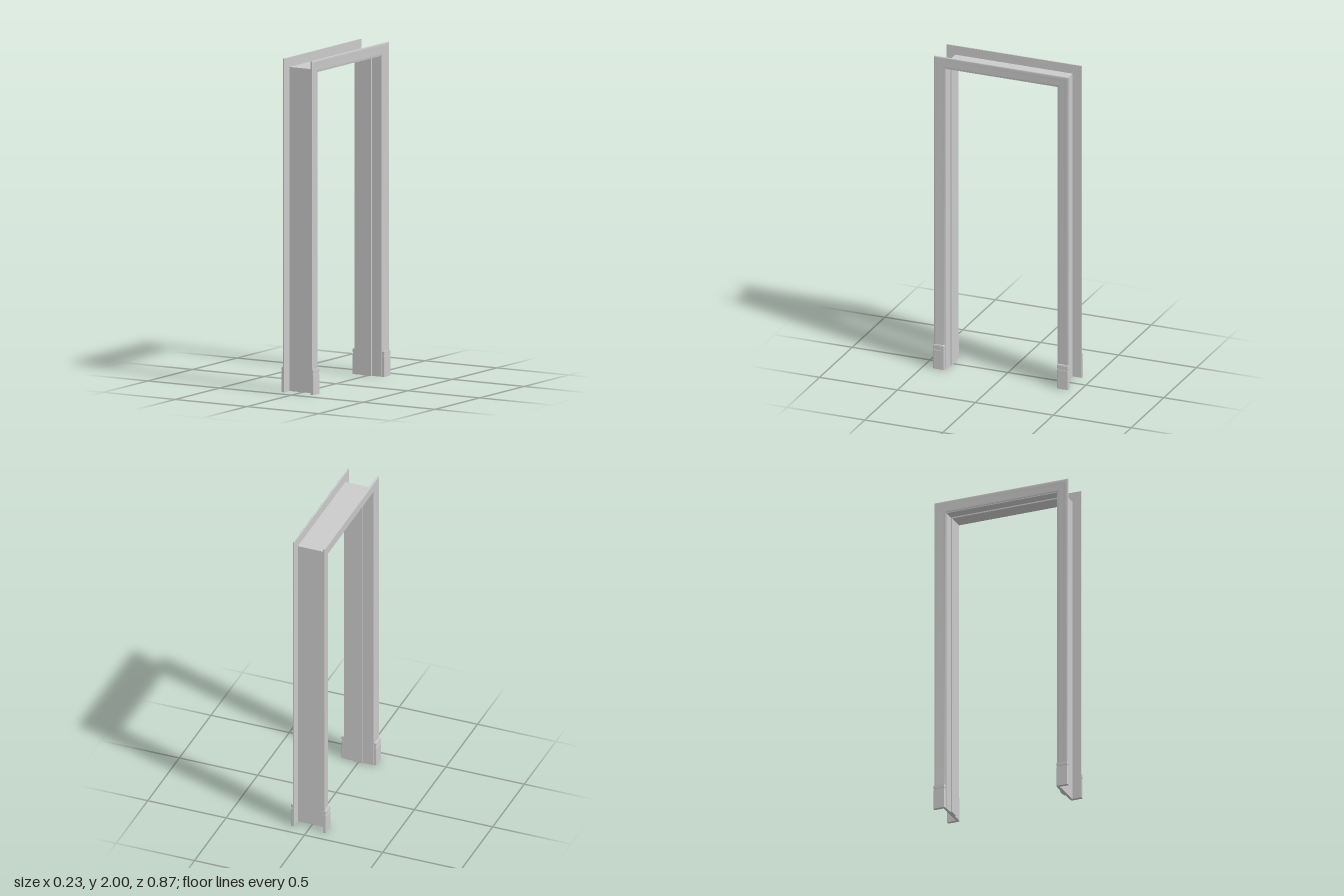
import * as THREE from 'three';
import { toCreasedNormals } from 'three/addons/utils/BufferGeometryUtils.js';

const material = new THREE.MeshStandardMaterial({ color: 0xcccccc });
const HALF = 0.433, TOP = 2; // outer edge of the casing

function part(name, geometry) {
  const mesh = new THREE.Mesh(geometry, material);
  mesh.name = name;
  return mesh;
}

// Upside-down U board lying between two insets from the outer edge, centred on x
function uBoard(outer, inner, width) {
  const ho = HALF - outer, to = TOP - outer, hi = HALF - inner, ti = TOP - inner;
  const shape = new THREE.Shape([
    [-ho, 0], [-hi, 0], [-hi, ti], [hi, ti], [hi, 0], [ho, 0], [ho, to], [-ho, to],
  ].map(([x, y]) => new THREE.Vector2(x, y)));
  return new THREE.ExtrudeGeometry(shape, { depth: width, bevelEnabled: false })
    .translate(0, 0, -width / 2).rotateY(Math.PI / 2);
}

// Moulded profile swept round the opening with mitred corners
function casingGeometry() {
  // [inset from the outer edge, x]
  const profile = [
    [0, 0.092], [0, 0.1], [0.002, 0.1015], [0.006, 0.102], [0.015, 0.102], [0.022, 0.101],
    [0.032, 0.0998], [0.046, 0.0988], [0.06, 0.0978], [0.067, 0.097], [0.07, 0.0955], [0.07, 0.092],
  ];
  const station = ([d, x], i) => {
    const h = HALF - d;
    return [x, i === 0 || i === 3 ? 0 : TOP - d, i < 2 ? -h : h];
  };
  const positions = [];
  for (let s = 0; s < 3; s++) {
    profile.forEach((p, k) => {
      const q = profile[(k + 1) % profile.length];
      const a = station(p, s), b = station(q, s), c = station(p, s + 1), d = station(q, s + 1);
      positions.push(...a, ...c, ...b, ...b, ...c, ...d);
    });
  }
  const geometry = new THREE.BufferGeometry();
  geometry.setAttribute('position', new THREE.Float32BufferAttribute(positions, 3));
  return toCreasedNormals(geometry, 0.6);
}

// Slab of the plinth with chamfered outer corners
function plinthSlab(y0, y1, xOut, halfZ) {
  const c = 0.004, x0 = 0.092;
  const shape = new THREE.Shape([
    [x0, -halfZ], [xOut - c, -halfZ], [xOut, -halfZ + c],
    [xOut, halfZ - c], [xOut - c, halfZ], [x0, halfZ],
  ].map(([x, y]) => new THREE.Vector2(x, y)));
  return new THREE.ExtrudeGeometry(shape, { depth: y1 - y0, bevelEnabled: false })
    .rotateX(-Math.PI / 2).translate(0, y0, 0);
}

function plinth() {
  const group = new THREE.Group();
  group.name = 'plinthBlock';
  group.add(
    part('plinthBase', plinthSlab(0, 0.12, 0.113, 0.0365)),
    part('plinthGroove', plinthSlab(0.12, 0.13, 0.109, 0.0355)),
    part('plinthBand', plinthSlab(0.13, 0.149, 0.113, 0.0365)),
    part('plinthTop', plinthSlab(0.149, 0.153, 0.11, 0.0355)),
  );
  return group;
}

export function createModel() {
  const model = new THREE.Group();
  model.name = 'doorFrame';

  // Lining of the opening, with the door stop along its middle
  model.add(part('jamb', uBoard(0.057, 0.075, 0.186)));
  model.add(part('doorStop', uBoard(0.074, 0.083, 0.056)));

  // Casing and plinth blocks on both faces of the wall
  const casing = casingGeometry();
  for (const turn of [0, Math.PI]) {
    const side = new THREE.Group();
    side.name = turn ? 'rightTrim' : 'leftTrim';
    side.rotation.y = turn;
    side.add(part('casing', casing));
    for (const s of [-1, 1]) {
      const block = plinth();
      block.position.z = s * (HALF - 0.035);
      side.add(block);
    }
    model.add(side);
  }
  return model;
}
